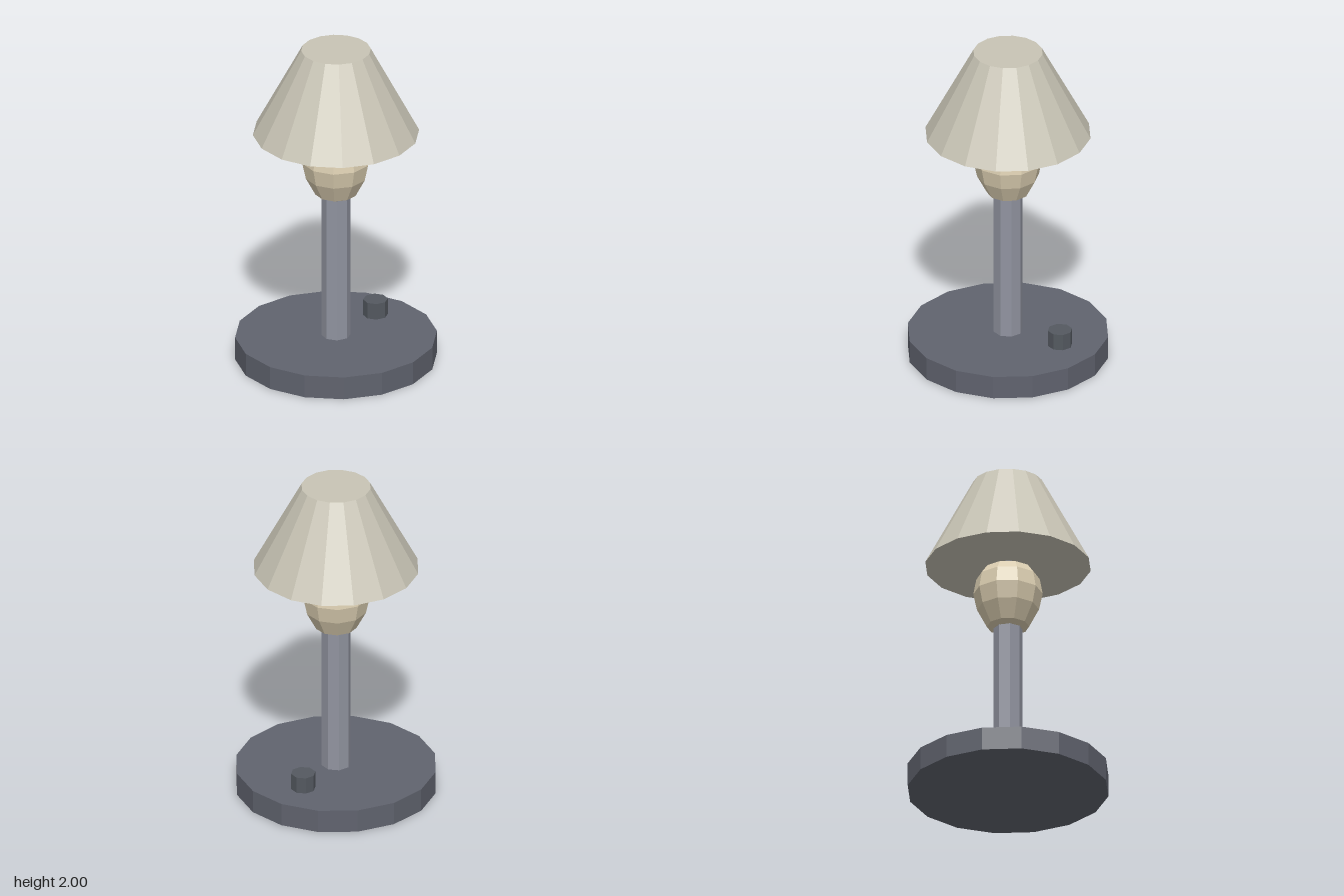
import * as THREE from 'three';

function material(name, color) {
  const m = new THREE.MeshStandardMaterial({ color });
  m.name = name;
  m.flatShading = true;
  return m;
}

export function createModel() {
  const lamp = new THREE.Group();
  lamp.name = 'tableLamp';

  const slate = material('slate', 0x60636e);
  const steel = material('steel', 0x9194a0);
  const charcoal = material('charcoal', 0x545960);
  const linen = material('linen', 0xc8c4b5);
  const cream = material('cream', 0xdacdb0);

  function add(name, geometry, mat, x = 0, y = 0) {
    const mesh = new THREE.Mesh(geometry, mat);
    mesh.name = name;
    mesh.position.set(x, y, 0);
    lamp.add(mesh);
  }

  // Faceted cylinder standing between two heights
  function column(name, mat, rTop, rBottom, y0, y1, sides, x = 0) {
    add(name, new THREE.CylinderGeometry(rTop, rBottom, y1 - y0, sides), mat, x, (y0 + y1) / 2);
  }

  column('base', slate, 0.597, 0.597, 0, 0.142, 16);
  column('post', steel, 0.087, 0.087, 0.13, 1.5, 8);
  column('switchKnob', charcoal, 0.073, 0.073, 0.13, 0.243, 8, 0.358);
  column('shade', linen, 0.206, 0.492, 1.46, 2, 16);

  // Ten-sided bulb, closed at both ends, with a corner on the x axis
  const profile = [
    [0, 1.05], [0.088, 1.05], [0.125, 1.068], [0.183, 1.178],
    [0.205, 1.28], [0.187, 1.376], [0.147, 1.43], [0, 1.43],
  ].map(([r, y]) => new THREE.Vector2(r, y));
  add('bulb', new THREE.LatheGeometry(profile, 10, Math.PI / 2), cream);

  return lamp;
}
